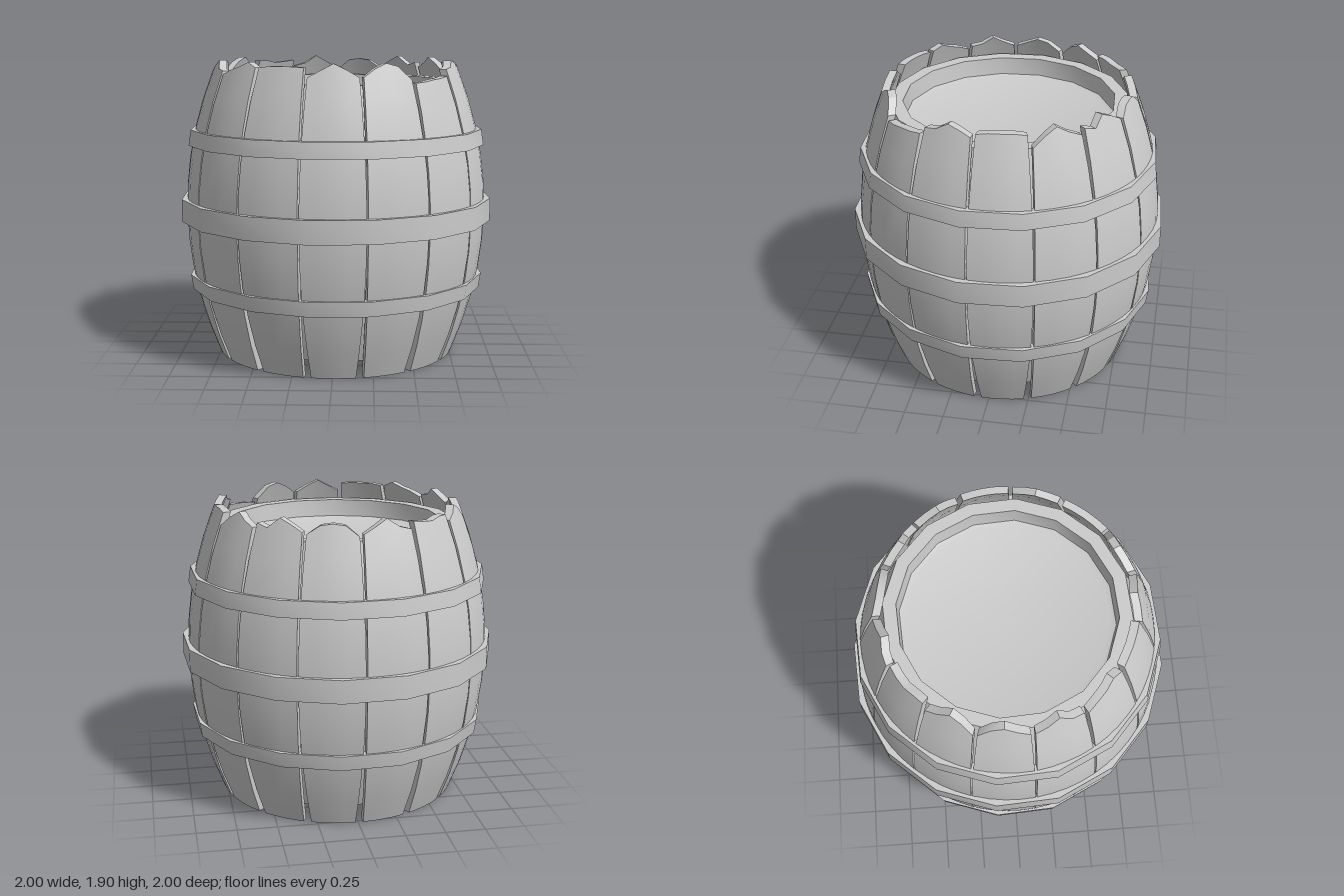
import * as THREE from 'three';
import { toCreasedNormals } from 'three/addons/utils/BufferGeometryUtils.js';

const DEG = Math.PI / 180;
const STAVES = 15;
const SIDES = 16;
const TURN = 14.5 * DEG;

// Outer radius of the bulging wall at height y
const bulge = (y) => 0.972 - 0.2 * ((y - 0.94) / 0.94) ** 2;

// Broken upper edge of each stave: heights at five points across its width
const TOPS = [
  [1.82, 1.86, 1.9, 1.865, 1.82],
  [1.82, 1.87, 1.9, 1.88, 1.8],
  [1.78, 1.785, 1.795, 1.8, 1.81],
  [1.85, 1.86, 1.9, 1.88, 1.85],
  [1.87, 1.88, 1.88, 1.88, 1.87],
  [1.8, 1.86, 1.9, 1.86, 1.83],
  [1.86, 1.84, 1.9, 1.87, 1.83],
  [1.82, 1.87, 1.88, 1.87, 1.81],
  [1.82, 1.86, 1.9, 1.85, 1.83],
  [1.87, 1.86, 1.855, 1.87, 1.87],
  [1.83, 1.86, 1.9, 1.87, 1.8],
  [1.81, 1.87, 1.89, 1.86, 1.83],
  [1.83, 1.86, 1.9, 1.85, 1.84],
  [1.82, 1.85, 1.87, 1.9, 1.87],
  [1.87, 1.88, 1.88, 1.88, 1.875],
];

export function createModel() {
  const model = new THREE.Group();
  model.name = 'barrel';
  const material = new THREE.MeshStandardMaterial({ color: 0xcccccc });

  const add = (name, geometry) => {
    const mesh = new THREE.Mesh(toCreasedNormals(geometry, 0.5), material);
    mesh.name = name;
    model.add(mesh);
    return mesh;
  };

  const addLathe = (name, profile) => {
    const points = profile.map(([r, y]) => new THREE.Vector2(r, y));
    add(name, new THREE.LatheGeometry(points, SIDES)).rotation.y = TURN;
  };

  // Staves: boxes bent around the wall, narrowing towards both ends
  const half = (y) => (y < 0.94
    ? 11.75 - 1.55 * ((0.94 - y) / 0.94) ** 2
    : 11.75 - 0.75 * ((y - 0.94) / 0.94) ** 2) * DEG;
  TOPS.forEach((top, k) => {
    const geometry = new THREE.BoxGeometry(1, 1, 1, 4, 10, 1);
    const p = geometry.attributes.position;
    const centre = (0.5 + k * 360 / STAVES) * DEG;
    for (let i = 0; i < p.count; i++) {
      const y = (p.getY(i) + 0.5) * top[Math.round((p.getX(i) + 0.5) * 4)];
      const angle = centre + p.getX(i) * 2 * half(y);
      const r = bulge(y) - (p.getZ(i) > 0 ? 0 : 0.05);
      p.setXYZ(i, r * Math.sin(angle), y, r * Math.cos(angle));
    }
    add('stave' + (k + 1), geometry);
  });

  // Inner cask with a flat bottom and a recessed lid inside a raised rim
  const wall = [];
  for (let i = 0; i <= 8; i++) {
    const y = 0.1 + 1.67 * i / 8;
    wall.push([bulge(y) - 0.07, y]);
  }
  addLathe('innerCask', [[0, 0.1], ...wall, [0.665, 1.77], [0.655, 1.66], [0.62, 1.65], [0, 1.65]]);

  // Hoops: [name, bottom, top, outer radius at bottom, at top]
  const hoops = [
    ['lowerHoop', 0.425, 0.52, 0.945, 0.96],
    ['middleHoop', 0.87, 1.015, 1.01, 1.01],
    ['upperHoop', 1.36, 1.46, 0.96, 0.945],
  ];
  for (const [name, y0, y1, r0, r1] of hoops) {
    const t = 0.06;
    addLathe(name, [[r0 - t, y0], [r0, y0], [r1, y1], [r1 - t, y1], [r0 - t, y0]]);
  }

  return model;
}
